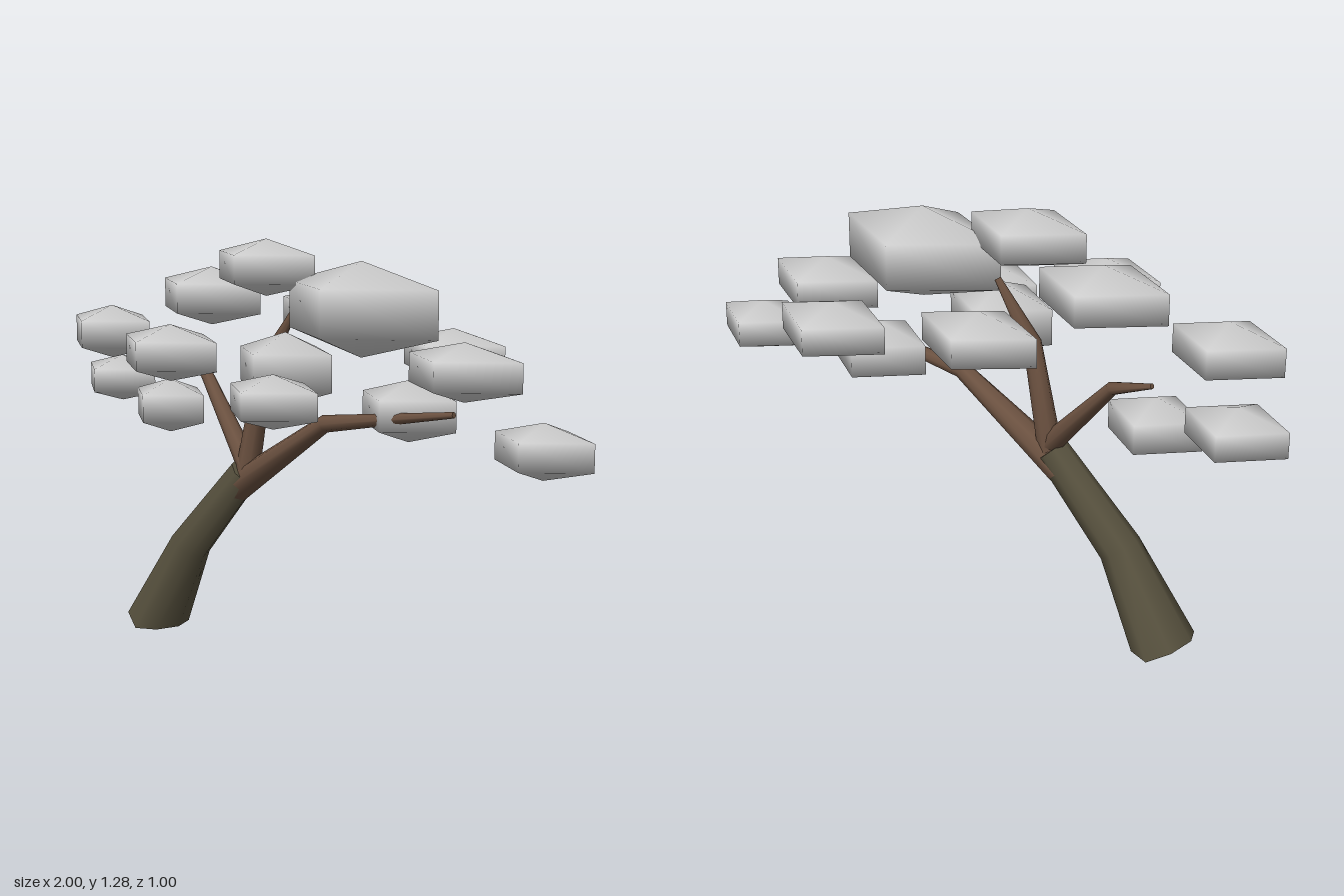
import * as THREE from 'three';
import { toCreasedNormals } from 'three/addons/utils/BufferGeometryUtils.js';

const barkMaterial = new THREE.MeshStandardMaterial({ color: 0x57513e });
const branchMaterial = new THREE.MeshStandardMaterial({ color: 0x6b5140 });
const leafMaterial = new THREE.MeshStandardMaterial({ color: 0xcccccc });

// Tapered, bent limb: each stop is [x, y, z, radius]; kept above the ground
function limb(name, stops, material) {
  const n = stops.length - 1;
  const at = (i) => new THREE.Vector3(...stops[Math.min(Math.max(i, 0), n)].slice(0, 3));
  const rings = stops.map((s, i) => {
    const before = at(i).sub(at(i - 1)).normalize();
    const after = at(i + 1).sub(at(i)).normalize();
    const along = before.add(after).normalize();
    const u = along.clone().cross(new THREE.Vector3(0, 0, 1)).normalize();
    return { centre: at(i), u, v: u.clone().cross(along), r: s[3] };
  });
  const geometry = new THREE.CylinderGeometry(1, 1, 1, 8, n);
  const pos = geometry.attributes.position;
  for (let i = 0; i < pos.count; i++) {
    const ring = rings[Math.round((pos.getY(i) + 0.5) * n)];
    const p = ring.centre.clone()
      .addScaledVector(ring.u, pos.getX(i) * ring.r)
      .addScaledVector(ring.v, pos.getZ(i) * ring.r);
    pos.setXYZ(i, p.x, Math.max(p.y, 0), p.z);
  }
  const mesh = new THREE.Mesh(toCreasedNormals(geometry, 1), material);
  mesh.name = name;
  return mesh;
}

// Four-sided leaf clump with a pointed top and bottom, given by half extents
function leafClump([x, y, z, halfX, halfY, halfZ]) {
  const ringRadius = Math.sin(Math.PI / 3);
  const geometry = new THREE.SphereGeometry(1, 4, 3);
  geometry.scale(halfX / ringRadius, halfY, halfZ / ringRadius);
  const mesh = new THREE.Mesh(geometry, leafMaterial);
  mesh.name = 'leafClump';
  mesh.position.set(x, y, z);
  return mesh;
}

export function createModel() {
  const tree = new THREE.Group();
  tree.name = 'tree';

  // Leaning trunk and its three branches
  tree.add(
    limb('trunk', [
      [-0.62, 0.0, 0, 0.106], [-0.465, 0.29, 0, 0.066], [-0.23, 0.555, -0.01, 0.052],
    ], barkMaterial),
    limb('longBranch', [
      [-0.27, 0.5, -0.01, 0.05], [0.09, 0.74, -0.01, 0.027], [0.56, 0.815, -0.01, 0.009],
    ], branchMaterial),
    limb('upperBranch', [
      [-0.225, 0.55, -0.01, 0.038], [-0.17, 0.89, -0.03, 0.028], [-0.05, 1.065, -0.03, 0.01],
    ], branchMaterial),
    limb('sideBranch', [
      [-0.22, 0.57, -0.01, 0.035], [-0.465, 0.835, -0.08, 0.02], [-0.605, 0.885, -0.11, 0.008],
    ], branchMaterial),
  );

  // Foliage: centre x, y, z and half sizes in x, y, z
  const foliage = new THREE.Group();
  foliage.name = 'foliage';
  [
    [-0.845, 0.79, -0.07, 0.155, 0.076, 0.128],
    [-0.745, 0.963, 0.065, 0.172, 0.085, 0.134],
    [-0.575, 0.728, -0.025, 0.15, 0.087, 0.124],
    [-0.41, 1.09, -0.05, 0.207, 0.091, 0.155],
    [-0.13, 1.195, 0.005, 0.193, 0.086, 0.142],
    [-0.21, 1.025, -0.375, 0.186, 0.083, 0.13],
    [-0.2, 0.963, 0.345, 0.185, 0.083, 0.139],
    [0.005, 0.905, 0.072, 0.18, 0.11, 0.14],
    [0.23, 1.09, -0.005, 0.276, 0.14, 0.186],
    [0.325, 0.79, -0.11, 0.172, 0.092, 0.138],
    [0.32, 0.933, -0.337, 0.187, 0.082, 0.142],
    [0.22, 0.862, 0.368, 0.161, 0.077, 0.131],
    [0.572, 0.933, -0.04, 0.195, 0.085, 0.145],
    [0.838, 0.74, -0.04, 0.16, 0.08, 0.123],
  ].forEach((clump) => foliage.add(leafClump(clump)));
  tree.add(foliage);
  return tree;
}
